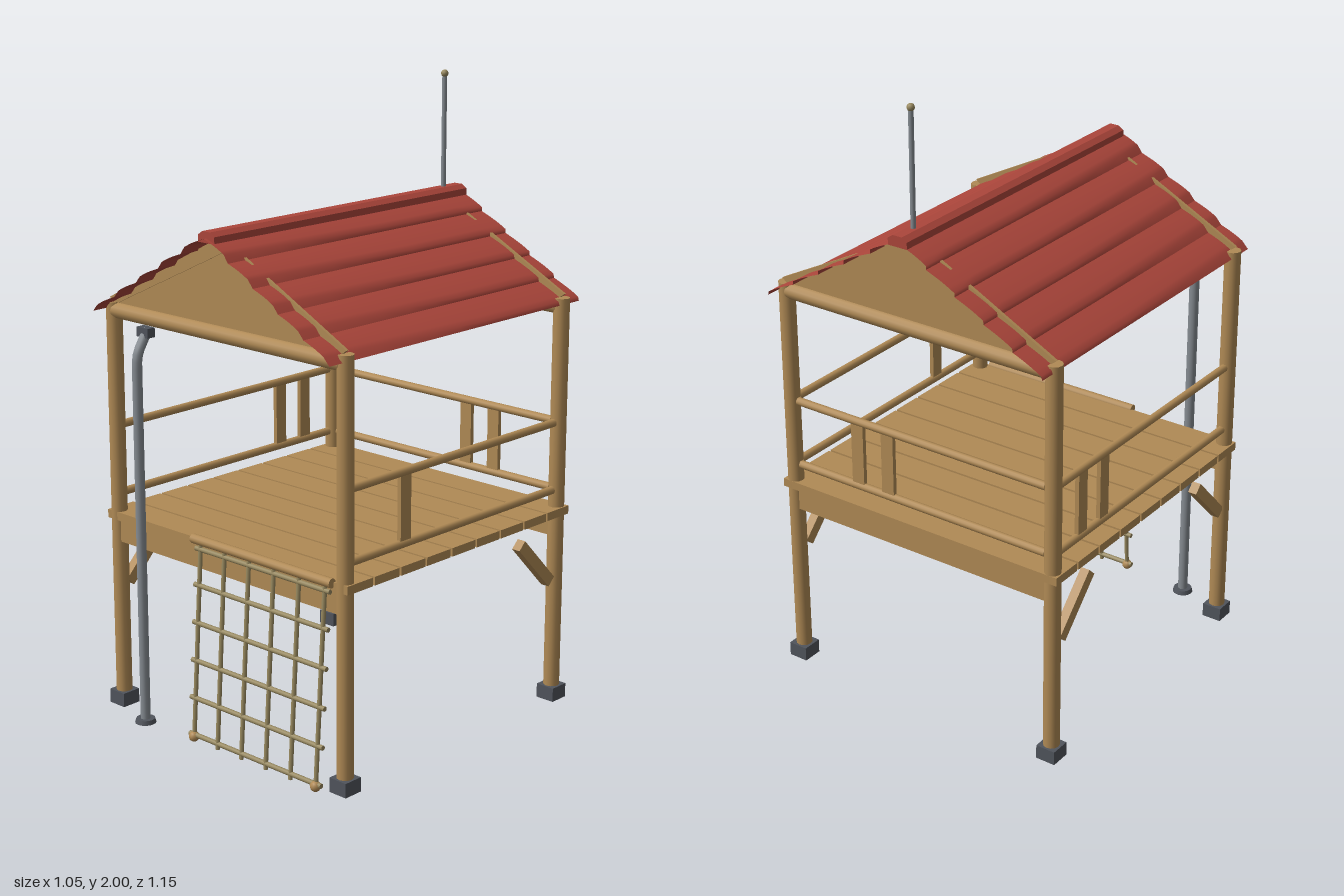
import * as THREE from 'three';

const mat = (name, color, side = THREE.FrontSide) => {
  const m = new THREE.MeshStandardMaterial({ color, side });
  m.name = name;
  return m;
};

export function createModel() {
  const wood = mat('wood', 0xb08a55);
  const red = mat('red roofing', 0xac463b, THREE.DoubleSide);
  const steel = mat('steel', 0x858b91);
  const iron = mat('dark footing', 0x50545c);
  const rope = mat('rope', 0x98895f);
  const root = new THREE.Group();
  root.name = 'playTower';

  const add = (name, geo, material, x = 0, y = 0, z = 0) => {
    const m = new THREE.Mesh(geo, material);
    m.name = name;
    m.position.set(x, y, z);
    root.add(m);
    return m;
  };
  const box = (name, w, h, d, x, y, z, material = wood) =>
    add(name, new THREE.BoxGeometry(w, h, d), material, x, y, z);
  // Round bar between two points
  const bar = (name, a, b, r, material = wood, sides = 12) => {
    const p = new THREE.Vector3(...a), q = new THREE.Vector3(...b);
    const d = q.clone().sub(p);
    const m = add(name, new THREE.CylinderGeometry(r, r, d.length(), sides), material);
    m.position.copy(p).add(q).multiplyScalar(0.5);
    m.quaternion.setFromUnitVectors(new THREE.Vector3(0, 1, 0), d.normalize());
    return m;
  };

  const X = 0.49, FRONT = 0.483, BACK = -0.5;

  // Corner posts on footings
  for (const x of [-X, X]) for (const z of [FRONT, BACK]) {
    bar('post', [x, 0.03, z], [x, 1.335, z], 0.026);
    box('footing', 0.066, 0.046, 0.066, x, 0.023, z, iron);
  }

  // Gables: beam, triangular panel and a pair of rake boards
  for (const [z, out] of [[FRONT, 1], [BACK, -1]]) {
    bar('topBeam', [-0.48, 1.308, z], [0.48, 1.308, z], 0.026);
    box('floorBeam', 0.95, 0.075, 0.03, 0, 0.595, z);
    const panel = new THREE.Shape([
      new THREE.Vector2(-0.48, 1.33), new THREE.Vector2(0.48, 1.33), new THREE.Vector2(0, 1.57),
    ]);
    add('gablePanel', new THREE.ExtrudeGeometry(panel, { depth: 0.008, bevelEnabled: false }), wood, 0, 0, z - 0.004);
    for (const s of [-1, 1]) {
      const pts = [[0, 1.553], [0.475, 1.328], [0.5, 1.347], [0, 1.603]];
      const rake = new THREE.Shape(pts.map(([x, y]) => new THREE.Vector2(s * x, y)));
      add('rakeBoard', new THREE.ExtrudeGeometry(rake, { depth: 0.01, bevelEnabled: false }), wood, 0, 0, z - 0.005 + out * 0.003);
    }
  }

  // Floor planks
  for (let i = 0; i < 9; i++) box('floorPlank', 1.04, 0.027, 0.107, 0, 0.643, -0.472 + i * 0.1155);

  // Guard rails on three sides
  for (const y of [0.713, 0.935]) {
    bar('backRail', [-0.465, y, BACK], [0.465, y, BACK], 0.013);
    for (const x of [-X, X]) bar('sideRail', [x, y, 0.46], [x, y, -0.475], 0.013);
  }
  for (const x of [0.115, 0.23]) box('backBaluster', 0.045, 0.21, 0.014, x, 0.824, BACK);
  for (const [x, z] of [[X, 0.23], [-X, -0.24], [-X, -0.355]])
    box('sideBaluster', 0.014, 0.21, 0.045, x, 0.824, z);

  // Diagonal braces
  for (const [x, s] of [[-X, 1], [-X, -1], [X, -1]]) {
    const b = box('brace', 0.03, 0.22, 0.038, x, 0.49, s > 0 ? 0.38 : -0.39);
    b.rotation.x = -s * 0.77;
  }

  // Lapped roof sheets; the crest of each lap wanders towards the front
  const roofSheet = (s, i) => {
    const z0 = -0.575, z1 = 0.56, steps = 10, n = 6;
    const pos = [], idx = [];
    for (let j = 0; j <= steps; j++) {
      const f = j / steps, crest = 0.96 - 0.3 * Math.max(0, f - 0.4);
      for (let k = 0; k <= n; k++) {
        const t = k === n ? 1 : crest * k / (n - 1);
        const lift = k === n ? 0 : 0.012 * Math.sin(Math.PI / 2 * k / (n - 1));
        const u = (i + t) / 5;
        pos.push(s * (0.5 * u + lift * 0.5 * (1 - u)), 1.606 - 0.292 * u + lift * 0.86, z0 + (z1 - z0) * f);
        if (j < steps && k < n) {
          const a = j * (n + 1) + k, b = a + n + 1;
          idx.push(...(s > 0 ? [a, b, a + 1, b, b + 1, a + 1] : [a, a + 1, b, b, a + 1, b + 1]));
        }
      }
    }
    const g = new THREE.BufferGeometry();
    g.setAttribute('position', new THREE.Float32BufferAttribute(pos, 3));
    g.setIndex(idx);
    g.computeVertexNormals();
    return g;
  };
  for (const s of [-1, 1]) for (let i = 0; i < 5; i++) add('roofSheet', roofSheet(s, i), red);

  // Ridge cap
  const cap = new THREE.Shape([[-0.034, 1.592], [0.034, 1.592], [0.034, 1.614], [0.016, 1.626], [-0.016, 1.626], [-0.034, 1.614]]
    .map(([x, y]) => new THREE.Vector2(x, y)));
  add('ridgeCap', new THREE.ExtrudeGeometry(cap, { depth: 1.125, bevelEnabled: false }), red, 0, 0, -0.575);

  // Mast with ball tip
  bar('mast', [0, 1.55, BACK], [0, 1.985, BACK], 0.008, steel);
  add('mastTip', new THREE.SphereGeometry(0.012, 12, 8), rope, 0, 1.988, BACK);

  // Sliding pole bent back to the top beam
  const P = (y, z) => new THREE.Vector3(-0.32, y, z);
  const path = new THREE.CurvePath();
  path.add(new THREE.LineCurve3(P(0, 0.545), P(1.17, 0.545)));
  path.add(new THREE.QuadraticBezierCurve3(P(1.17, 0.545), P(1.2, 0.545), P(1.22, 0.533)));
  path.add(new THREE.LineCurve3(P(1.22, 0.533), P(1.275, 0.498)));
  add('slidingPole', new THREE.TubeGeometry(path, 60, 0.016, 12), steel);
  add('poleBase', new THREE.CylinderGeometry(0.03, 0.034, 0.014, 16), iron, -0.32, 0.007, 0.545);
  box('poleBracket', 0.05, 0.03, 0.03, -0.32, 1.268, 0.507, iron);

  // Climbing net
  const netZ = (y) => 0.55 - 0.065 * y;
  for (let i = 0; i < 6; i++) {
    const x = -0.09 + i * 0.1045;
    bar('netRope', [x, 0.01, netZ(0.01)], [x, 0.65, netZ(0.65)], 0.007, rope, 8);
  }
  for (const y of [0.028, 0.147, 0.268, 0.39, 0.51, 0.625])
    bar('netRung', [-0.11, y, netZ(y)], [0.455, y, netZ(y)], 0.008, rope, 8);
  bar('netBar', [-0.12, 0.655, 0.512], [0.465, 0.655, 0.512], 0.015);
  for (const x of [-0.09, 0.4325]) add('netAnchor', new THREE.SphereGeometry(0.017, 10, 8), wood, x, 0.022, netZ(0));

  return root;
}
